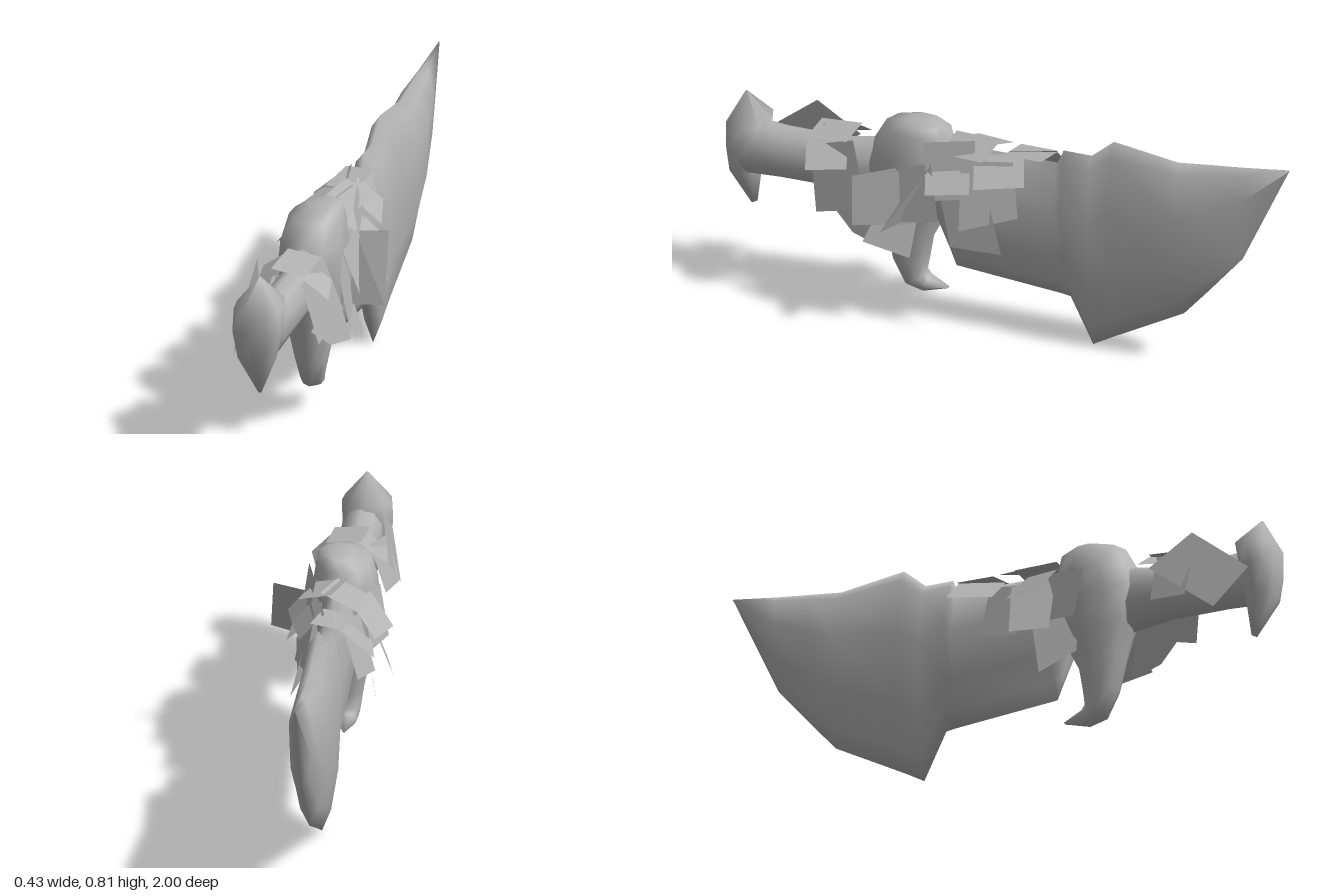
import * as THREE from 'three';
import { toCreasedNormals } from 'three/addons/utils/BufferGeometryUtils.js';

const steel = new THREE.MeshStandardMaterial({ color: 0xb4b4b4, side: THREE.DoubleSide });
steel.name = 'grey';

// Cross-sections as [along, across] pairs between -1 and 1
const mirrored = (half) => [...half, ...half.slice(1, -1).reverse().map(([u, v]) => [u, -v])];
const oval = Array.from({ length: 10 }, (_, i) => {
  const a = (i / 10) * Math.PI * 2;
  return [Math.cos(a), Math.sin(a)];
});
const lens = mirrored([[1, 0], [0.88, 0.5], [0.35, 1], [-0.35, 0.9], [-0.78, 0.5], [-1, 0]]);
const slab = mirrored([[1, 0], [0.7, 0.8], [0, 1], [-0.75, 0.95], [-1, 0.5], [-1, 0]]);

// Station: [zA, yA, zB, yB, centre x, half width]; A and B are the ends of the section
function loft(name, section, stations, crease = Math.PI) {
  const pos = [], index = [], n = section.length;
  for (const [za, ya, zb, yb, xc, hx] of stations)
    for (const [u, v] of section) {
      const t = (1 - u) / 2;
      pos.push(xc + v * hx, ya + (yb - ya) * t, za + (zb - za) * t);
    }
  for (let i = 0; i < stations.length - 1; i++)
    for (let j = 0; j < n; j++) {
      const a = i * n + j, b = i * n + ((j + 1) % n);
      index.push(a, b, b + n, a, b + n, a + n);
    }
  const last = (stations.length - 1) * n;
  for (let j = 1; j < n - 1; j++) {
    index.push(0, j + 1, j);
    index.push(last, last + j, last + j + 1);
  }
  const geo = new THREE.BufferGeometry();
  geo.setAttribute('position', new THREE.Float32BufferAttribute(pos, 3));
  geo.setIndex(index);
  const mesh = new THREE.Mesh(toCreasedNormals(geo, crease), steel);
  mesh.name = name;
  return mesh;
}

// Flat four-cornered scrap of wrapping
function scrap(corners) {
  const geo = new THREE.BufferGeometry();
  geo.setAttribute('position', new THREE.Float32BufferAttribute(corners.flat(), 3));
  geo.setIndex([0, 1, 2, 0, 2, 3]);
  const mesh = new THREE.Mesh(geo.toNonIndexed(), steel);
  mesh.geometry.computeVertexNormals();
  mesh.name = 'wrapScrap';
  return mesh;
}

// Scrap hanging on one side: x runs from xTop to xLow and turns with z; corners in z, y
function sideScrap(xTop, xLow, turn, zy) {
  const ys = zy.map((p) => p[1]);
  const hi = Math.max(...ys), lo = Math.min(...ys);
  const mid = zy.reduce((sum, p) => sum + p[0], 0) / 4;
  return scrap(zy.map(([z, y]) => [xLow + ((xTop - xLow) * (y - lo)) / (hi - lo) + turn * (z - mid), y, z]));
}

// Scrap lying on top: centre, width, length, turn and tilt
function topScrap(x, y, z, w, l, turn, tilt) {
  const mesh = new THREE.Mesh(new THREE.PlaneGeometry(w, l).rotateX(-Math.PI / 2), steel);
  mesh.position.set(x, y, z);
  mesh.rotation.set(0.12, turn, tilt);
  mesh.name = 'topScrap';
  return mesh;
}

export function createModel() {
  const model = new THREE.Group();

  // Broad curved blade with a notched spine and a lower tooth
  model.add(loft('blade', lens, [
    [0.3, 0.64, 0.21, 0.285, -0.02, 0.06],
    [0.19, 0.66, 0.19, 0.2, -0.02, 0.06],
    [-0.17, 0.66, -0.18, 0.17, -0.018, 0.058],
    [-0.19, 0.71, -0.215, 0.165, -0.018, 0.058],
    [-0.29, 0.71, -0.295, 0.0, -0.018, 0.06],
    [-0.37, 0.78, -0.37, 0.045, -0.015, 0.06],
    [-0.6, 0.75, -0.62, 0.185, -0.01, 0.062],
    [-0.7, 0.762, -0.71, 0.29, -0.01, 0.06],
    [-0.84, 0.78, -0.83, 0.435, -0.006, 0.036],
    [-1, 0.805, -0.995, 0.797, 0, 0.002],
  ]));

  // Grip
  model.add(loft('grip', oval, [
    [0.94, 0.61, 0.94, 0.4, -0.03, 0.07],
    [0.8, 0.6, 0.8, 0.41, -0.028, 0.068],
    [0.6, 0.6, 0.6, 0.41, -0.028, 0.065],
    [0.4, 0.64, 0.4, 0.38, -0.03, 0.07],
  ], 1.2));

  // Pointed pommel with a blunt end
  model.add(loft('pommel', slab, [
    [0.94, 0.7, 0.946, 0.698, -0.04, 0.003],
    [0.85, 0.61, 1.0, 0.59, -0.04, 0.082],
    [0.87, 0.52, 1.0, 0.51, -0.042, 0.084],
    [0.89, 0.41, 0.995, 0.42, -0.045, 0.062],
    [0.905, 0.29, 0.925, 0.28, -0.045, 0.006],
  ]));

  // Swollen guard that ends in a hook
  model.add(loft('guard', oval, [
    [0.24, 0.725, 0.36, 0.733, -0.005, 0.058],
    [0.21, 0.69, 0.44, 0.7, -0.025, 0.092],
    [0.19, 0.6, 0.49, 0.61, -0.03, 0.11],
    [0.2, 0.5, 0.515, 0.54, -0.032, 0.11],
    [0.23, 0.38, 0.48, 0.42, -0.035, 0.095],
    [0.275, 0.29, 0.445, 0.31, -0.035, 0.078],
    [0.29, 0.2, 0.42, 0.19, -0.035, 0.056],
    [0.3, 0.15, 0.375, 0.095, -0.037, 0.042],
    [0.29, 0.135, 0.31, 0.075, -0.037, 0.032],
    [0.222, 0.105, 0.225, 0.098, -0.037, 0.004],
  ]));

  // Ragged wrapping around the guard and grip
  const wrap = new THREE.Group();
  wrap.name = 'wrapping';

  // Left side scraps
  [
    [0.04, 0.09, -0.2, [[0.69, 0.58], [0.53, 0.64], [0.46, 0.42], [0.65, 0.36]]],
    [0.08, 0.12, 0.2, [[0.51, 0.54], [0.33, 0.59], [0.31, 0.39], [0.5, 0.37]]],
    [0.06, 0.09, -0.25, [[0.62, 0.39], [0.43, 0.46], [0.4, 0.29], [0.52, 0.31]]],
    [0.08, 0.14, 0.2, [[0.41, 0.45], [0.29, 0.42], [0.3, 0.28], [0.46, 0.32]]],
    [0.05, 0.1, 0.2, [[0.14, 0.65], [-0.03, 0.66], [-0.06, 0.47], [0.13, 0.41]]],
    [0.05, 0.1, -0.15, [[0.25, 0.59], [0.06, 0.57], [-0.02, 0.35], [0.17, 0.33]]],
    [0.06, 0.1, 0.2, [[0.27, 0.7], [0.1, 0.72], [0.09, 0.52], [0.24, 0.5]]],
    [0.08, 0.14, -0.25, [[0.36, 0.58], [0.24, 0.63], [0.19, 0.45], [0.33, 0.41]]],
  ].forEach((s) => wrap.add(sideScrap(...s)));

  // Right side scraps, flaring further out
  [
    [-0.12, -0.2, 0.25, [[0.22, 0.6], [0.08, 0.58], [0.1, 0.385], [0.23, 0.39]]],
    [-0.07, -0.14, -0.2, [[0.12, 0.6], [-0.04, 0.64], [-0.05, 0.44], [0.1, 0.4]]],
    [-0.1, -0.14, 0.2, [[0.3, 0.48], [0.14, 0.46], [0.18, 0.25], [0.3, 0.32]]],
    [-0.12, -0.16, -0.25, [[0.34, 0.6], [0.2, 0.62], [0.16, 0.44], [0.32, 0.42]]],
    [-0.1, -0.16, -0.2, [[0.73, 0.58], [0.58, 0.62], [0.58, 0.44], [0.72, 0.42]]],
    [-0.11, -0.17, 0.1, [[0.93, 0.5], [0.72, 0.67], [0.58, 0.55], [0.82, 0.36]]],
  ].forEach((s) => wrap.add(sideScrap(...s)));

  // Scraps along the top, folded down towards the sides
  [
    [-0.1, 0.62, -0.07, 0.17, 0.16, 0.15, 0.7],
    [-0.03, 0.67, -0.07, 0.11, 0.15, -0.2, 0.1],
    [0.06, 0.63, 0.01, 0.12, 0.17, 0.25, -0.8],
    [-0.06, 0.67, 0.11, 0.14, 0.15, -0.3, 0.35],
    [0.02, 0.68, 0.13, 0.12, 0.18, -0.25, -0.25],
    [0.09, 0.6, 0.18, 0.14, 0.15, 0.2, -0.85],
    [-0.14, 0.58, 0.15, 0.14, 0.14, -0.35, 0.9],
    [-0.09, 0.6, 0.61, 0.12, 0.15, 0.1, 0.6],
    [-0.01, 0.63, 0.62, 0.12, 0.15, -0.1, -0.1],
    [0.06, 0.58, 0.62, 0.12, 0.14, 0.2, -0.75],
  ].forEach((s) => wrap.add(topScrap(...s)));

  // Large scrap standing out to the left
  wrap.add(scrap([[0.08, 0.61, 0.24], [0.2, 0.63, 0.25], [0.22, 0.41, 0.37], [0.09, 0.39, 0.34]]));
  model.add(wrap);
  return model;
}
